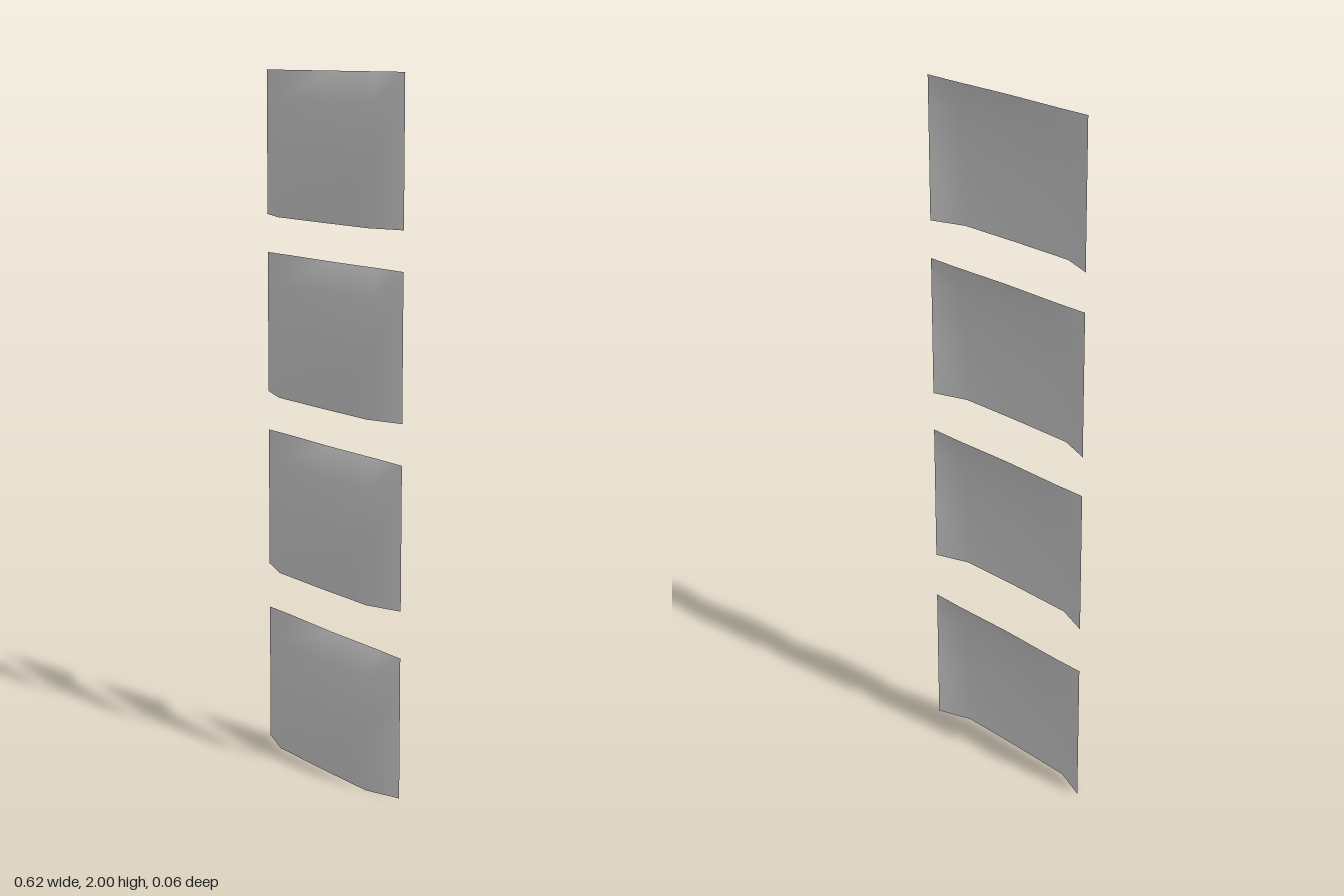
import * as THREE from 'three';

// Column positions, row heights and bulge depth (rows run top to bottom)
const COLS = [-0.31, -0.205, 0, 0.205, 0.31];
const ROWS = [0.41, 0.33, 0.17, 0];
const DEPTH = [
  [-0.03, -0.031, -0.027, -0.031, -0.03],
  [-0.03, -0.005, 0.01, -0.005, -0.03],
  [-0.03, 0.01, 0.03, 0.01, -0.03],
  [-0.03, 0.008, 0.01, 0.008, -0.03],
];

// One thin, forward-bulging sheet with its bottom edge on y = 0
function panelGeometry() {
  const nx = COLS.length, ny = ROWS.length;
  const geo = new THREE.PlaneGeometry(1, 1, nx - 1, ny - 1);
  const pos = geo.attributes.position;
  for (let r = 0; r < ny; r++) {
    for (let c = 0; c < nx; c++) pos.setXYZ(r * nx + c, COLS[c], ROWS[r], DEPTH[r][c]);
  }
  geo.computeVertexNormals();
  return geo;
}

export function createModel() {
  const group = new THREE.Group();
  group.name = 'curvedPanels';
  const grey = new THREE.MeshStandardMaterial({ color: 0xcccccc, side: THREE.DoubleSide });
  grey.name = 'lightGrey';

  // Four identical panels stacked in a column
  const geo = panelGeometry();
  [0, 0.545, 1.07, 1.59].forEach((y, i) => {
    const panel = new THREE.Mesh(geo, grey);
    panel.name = `panel${i + 1}`;
    panel.position.y = y;
    group.add(panel);
  });
  return group;
}
